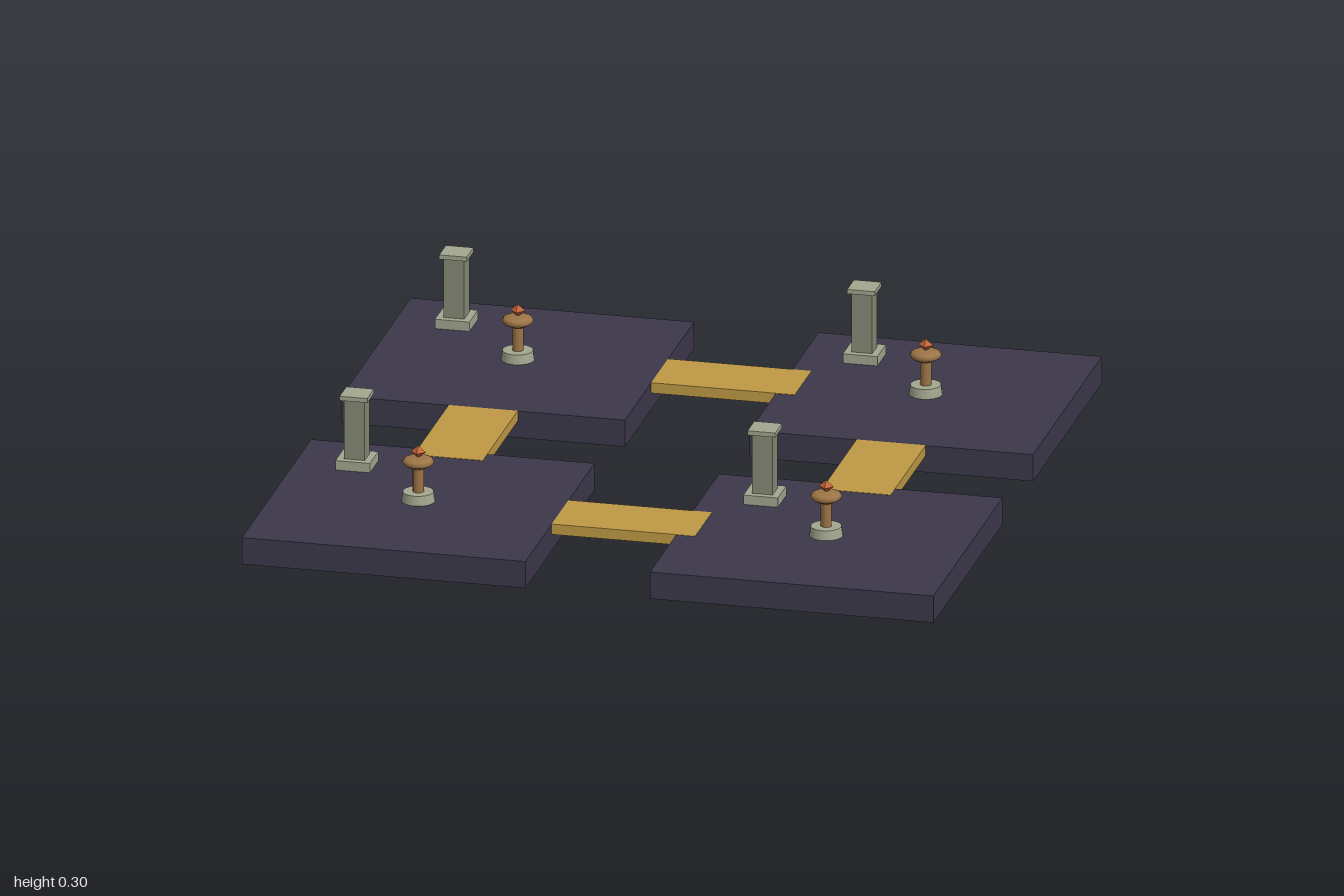
import * as THREE from 'three';

const mat = (color, flatShading = false) => {
  const m = new THREE.MeshStandardMaterial({ flatShading });
  m.color.set(color);
  return m;
};
const slate = mat(0x3c384b), gold = mat(0xbf9a45), stone = mat(0xa3a78f), shaftStone = mat(0x878a76);
const bronze = mat(0x9c7446), ember = mat(0xc4643a, true);

function add(parent, name, geometry, material, x = 0, y = 0, z = 0) {
  const mesh = new THREE.Mesh(geometry, material);
  mesh.name = name;
  mesh.position.set(x, y, z);
  parent.add(mesh);
  return mesh;
}

// Box given by its bottom and top heights
function block(parent, name, w, bottom, top, d, material) {
  return add(parent, name, new THREE.BoxGeometry(w, top - bottom, d), material, 0, (bottom + top) / 2, 0);
}

// Square pillar with plinth and cap
function createPillar() {
  const g = new THREE.Group();
  g.name = 'pillar';
  block(g, 'pillarBase', 0.1, 0, 0.028, 0.1, stone);
  block(g, 'pillarShaft', 0.06, 0.028, 0.205, 0.06, shaftStone);
  block(g, 'pillarCap', 0.08, 0.205, 0.218, 0.08, stone);
  return g;
}

// Brazier: round foot, stem, flared bowl and a faceted flame
function createBrazier() {
  const g = new THREE.Group();
  g.name = 'brazier';
  add(g, 'brazierFoot', new THREE.CylinderGeometry(0.044, 0.048, 0.028, 16), stone, 0, 0.014, 0);
  add(g, 'brazierStem', new THREE.CylinderGeometry(0.016, 0.016, 0.078, 12), bronze, 0, 0.065, 0);
  const bowl = [[0, 0.096], [0.024, 0.1], [0.04, 0.109], [0.045, 0.117], [0.04, 0.125], [0.026, 0.131], [0, 0.132]];
  add(g, 'brazierBowl', new THREE.LatheGeometry(bowl.map(([x, y]) => new THREE.Vector2(x, y)), 20), bronze);
  const flame = add(g, 'flame', new THREE.OctahedronGeometry(0.022), ember, 0, 0.146, 0);
  flame.scale.y = 0.85;
  return g;
}

export function createModel() {
  const model = new THREE.Group();
  model.name = 'linkedPlatforms';
  const c = 0.59, top = 0.08;

  // Four platforms, each with one pillar and one brazier
  for (const x of [-c, c]) for (const z of [-c, c]) {
    const tile = new THREE.Group();
    tile.name = 'platformGroup';
    tile.position.set(x, 0, z);
    block(tile, 'platform', 0.82, 0, top, 0.82, slate);
    const pillar = createPillar();
    pillar.position.set(-0.235, top, -0.235);
    const brazier = createBrazier();
    brazier.position.y = top;
    tile.add(pillar, brazier);
    model.add(tile);
  }

  // Bridges across the gaps, showing on the +x or +z platform
  for (const s of [-c, c]) {
    const across = block(model, 'bridgeAcross', 0.415, 0.05, 0.081, 0.2, gold);
    across.position.x = 0.0275;
    across.position.z = s;
    const along = block(model, 'bridgeAlong', 0.2, 0.05, 0.081, 0.415, gold);
    along.position.x = s;
    along.position.z = 0.0275;
  }
  return model;
}
